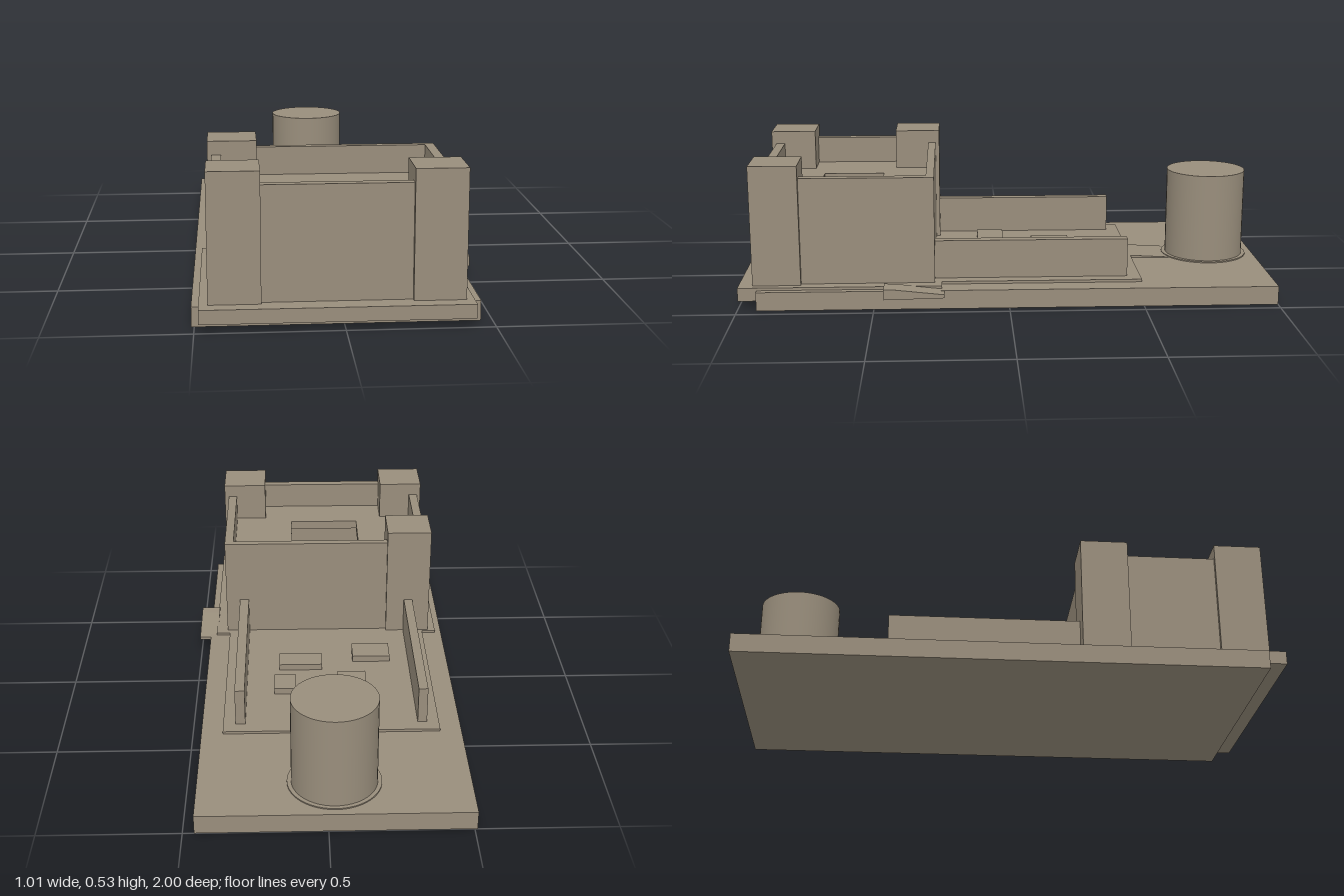
import * as THREE from 'three';

export function createModel() {
  const model = new THREE.Group();
  model.name = 'fort';
  const material = new THREE.MeshStandardMaterial({ color: 0x998e7c });

  function add(name, geometry) {
    const mesh = new THREE.Mesh(geometry, material);
    mesh.name = name;
    model.add(mesh);
    return mesh;
  }

  // Box given by its limits on each axis
  function block(name, x0, x1, y0, y1, z0, z1) {
    add(name, new THREE.BoxGeometry(x1 - x0, y1 - y0, z1 - z0))
      .position.set((x0 + x1) / 2, (y0 + y1) / 2, (z0 + z1) / 2);
  }

  // Side profile of [z, y] points, extruded along x
  function sideProfile(name, x0, x1, points) {
    const shape = new THREE.Shape(points.map(([z, y]) => new THREE.Vector2(-z, y)));
    const geometry = new THREE.ExtrudeGeometry(shape, { depth: x1 - x0, bevelEnabled: false });
    geometry.rotateY(Math.PI / 2);
    geometry.translate(x0, 0, 0);
    add(name, geometry);
  }

  // Ground slab and the two raised terraces
  block('ground', -0.51, 0.46, 0, 0.07, -1, 0.93);
  block('keepTerrace', -0.485, 0.435, 0.03, 0.08, 0.25, 1);
  block('courtyardTerrace', -0.43, 0.38, 0.03, 0.08, -0.5, 0.25);

  // Keep walls
  block('keepFrontWall', -0.44, 0.39, 0.08, 0.48, 0.895, 0.93);
  block('keepBackWall', -0.44, 0.39, 0.08, 0.48, 0.275, 0.305);
  block('keepRightWall', -0.44, -0.405, 0.08, 0.48, 0.305, 0.895);
  block('keepLeftWall', 0.355, 0.39, 0.08, 0.48, 0.305, 0.895);

  // Sunken roof with a square opening
  const rectangle = (Type, x0, x1, z0, z1) => new Type([
    new THREE.Vector2(x0, -z1), new THREE.Vector2(x1, -z1),
    new THREE.Vector2(x1, -z0), new THREE.Vector2(x0, -z0),
  ]);
  const roof = rectangle(THREE.Shape, -0.405, 0.355, 0.305, 0.895);
  roof.holes.push(rectangle(THREE.Path, -0.17, 0.115, 0.485, 0.725));
  const roofGeometry = new THREE.ExtrudeGeometry(roof, { depth: 0.035, bevelEnabled: false });
  roofGeometry.rotateX(-Math.PI / 2);
  add('keepRoof', roofGeometry).position.y = 0.34;

  // Three corner towers
  for (const [x, z] of [[-0.455, 0.26], [-0.455, 0.77], [0.23, 0.77]]) {
    block('cornerTower', x, x + 0.178, 0.08, 0.53, z, z + 0.178);
  }

  // Low courtyard walls
  block('courtyardRightWall', -0.385, -0.35, 0.08, 0.225, -0.45, 0.28);
  block('courtyardLeftWall', 0.297, 0.334, 0.08, 0.225, -0.45, 0.28);

  // Low foundations in the courtyard
  const foundations = [
    [-0.17, -0.06, -0.265, -0.115], [0.105, 0.19, -0.24, -0.135],
    [0, 0.17, -0.06, 0.03], [-0.275, -0.125, 0, 0.105],
  ];
  for (const [x0, x1, z0, z1] of foundations) block('foundation', x0, x1, 0.08, 0.105, z0, z1);

  // Round tower on its thin base
  add('roundTowerBase', new THREE.CylinderGeometry(0.168, 0.168, 0.015, 48)).position.set(-0.025, 0.067, -0.805);
  add('roundTower', new THREE.CylinderGeometry(0.153, 0.153, 0.345, 48)).position.set(-0.025, 0.2425, -0.805);

  // Ramps to the round tower and beside the keep
  sideProfile('backRamp', -0.11, 0.055, [[-0.5, 0.06], [-0.66, 0.06], [-0.66, 0.071], [-0.5, 0.08]]);
  sideProfile('sideRamp', 0.43, 0.505, [[0.462, 0.05], [0.24, 0.055], [0.24, 0.068], [0.42, 0.088], [0.462, 0.09]]);

  return model;
}
